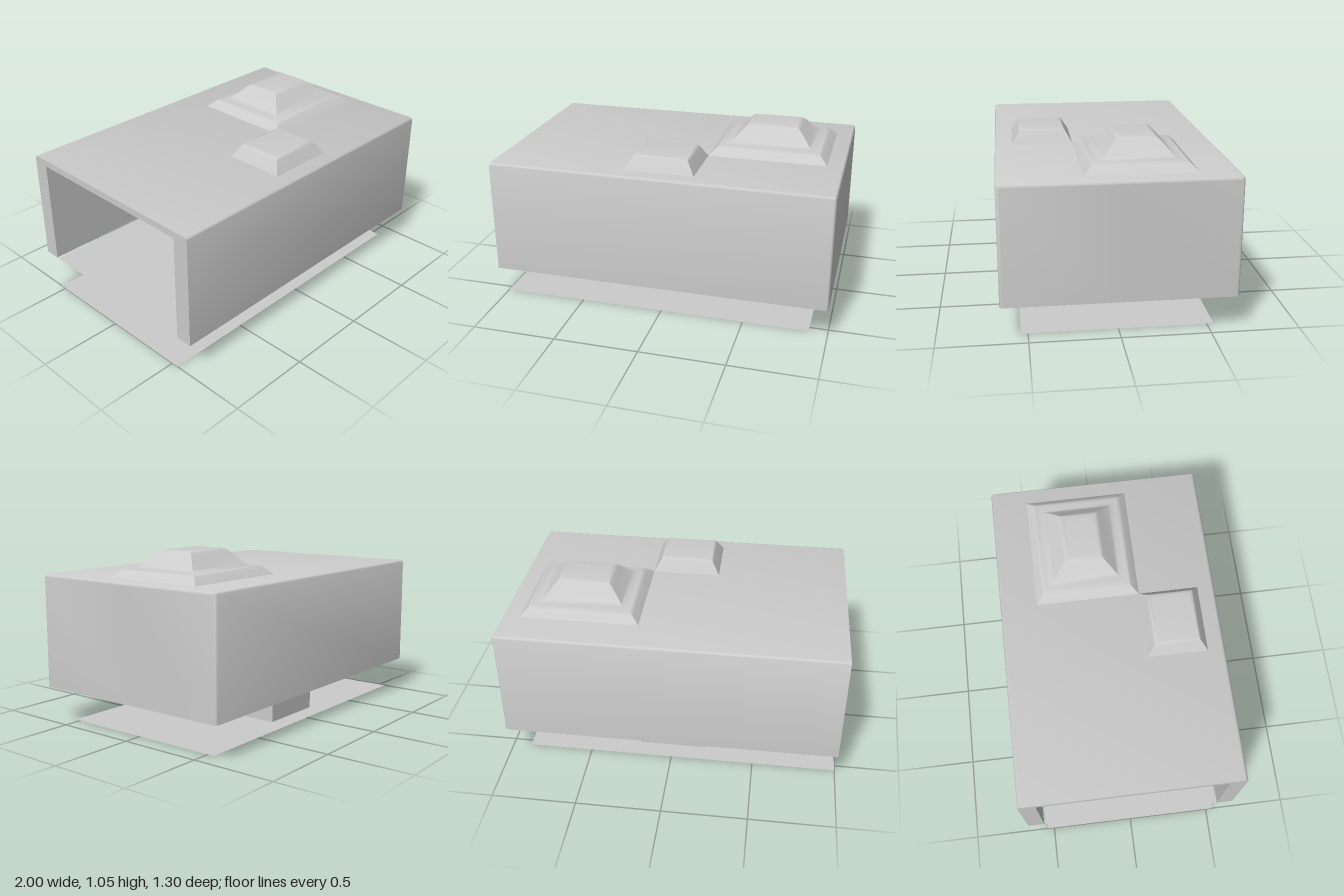
import * as THREE from 'three';
import { toCreasedNormals } from 'three/addons/utils/BufferGeometryUtils.js';

const material = new THREE.MeshStandardMaterial({ color: 0xcccccc, side: THREE.DoubleSide });

const FLOOR = 0.21, ROOF = 0.89;
const WELL = { x: 0, z: -0.12, hx: 0.205, hz: 0.31 };

function addMesh(group, geometry, name) {
  const mesh = new THREE.Mesh(geometry, material);
  mesh.name = name;
  group.add(mesh);
}

// Skin a list of cross-sections with equal point counts
function loft(rings, closed) {
  const n = rings[0].length, index = [];
  for (let i = 0; i < rings.length - 1; i++) {
    for (let j = 0; j < (closed ? n : n - 1); j++) {
      const a = i * n + j, b = i * n + (j + 1) % n;
      index.push(a, b, b + n, a, b + n, a + n);
    }
  }
  const geometry = new THREE.BufferGeometry();
  geometry.setAttribute('position', new THREE.Float32BufferAttribute(rings.flat(2), 3));
  geometry.setIndex(index);
  return toCreasedNormals(geometry, 0.75);
}

// Arch-shaped section (two walls and a top) with rounded shoulders
function archSection(x, w, top, r) {
  const points = [[x, FLOOR, -w]];
  for (const side of [-1, 1]) {
    for (let k = 0; k <= 4; k++) {
      const a = (side < 0 ? k : 4 - k) * Math.PI / 8;
      points.push([x, top - r + r * Math.sin(a), side * (w - r + r * Math.cos(a))]);
    }
  }
  points.push([x, FLOOR, w]);
  return points;
}

// Rectangular section seen from above
function rectSection(cx, cz, hx, hz, y) {
  return [[1, 1], [1, -1], [-1, -1], [-1, 1]].map(([sx, sz]) => [cx + sx * hx, y, cz + sz * hz]);
}

// Stepped skylight from [inset, height] pairs, closed on top
function skylight(cx, cz, hx, hz, profile) {
  const rings = profile.map(([d, h]) => rectSection(cx, cz, hx - d, hz - d, ROOF + h));
  const [, h] = profile[profile.length - 1];
  rings.push(rectSection(cx, cz, Math.max(hx - hz, 0), Math.max(hz - hx, 0), ROOF + h));
  return loft(rings, true);
}

// Thin slab with the well opening cut out
function sheet(y) {
  const shape = new THREE.Shape([[-1, -0.54], [0.89, -0.54], [0.89, 0.54], [-1, 0.54]].map(p => new THREE.Vector2(...p)));
  const hole = rectSection(WELL.x, WELL.z, WELL.hx, WELL.hz, 0).map(([x, , z]) => new THREE.Vector2(x, z));
  shape.holes.push(new THREE.Path(hole));
  return new THREE.ShapeGeometry(shape).rotateX(Math.PI / 2).translate(0, y, 0);
}

export function createModel() {
  const group = new THREE.Group();
  group.name = 'building';

  // Double-walled shell, open at its right end: room, rim, outer skin, end cap
  const r = 0.02;
  const sections = [
    archSection(0.89, 0, 0.85, 0),
    archSection(0.89, 0.55, 0.85, 0),
    archSection(-1, 0.55, 0.85, 0),
    archSection(-1, 0.65, ROOF, r),
  ];
  for (let k = 0; k <= 4; k++) {
    const a = k * Math.PI / 8, inset = r * (1 - Math.cos(a));
    sections.push(archSection(1 - r + r * Math.sin(a), 0.65 - inset, ROOF - inset, r - inset));
  }
  sections.push(archSection(1, 0, ROOF - r, 0));
  addMesh(group, loft(sections, false), 'shell');

  // Room floor, lower floor and the well joining them
  addMesh(group, sheet(FLOOR), 'roomFloor');
  addMesh(group, sheet(0), 'lowerFloor');
  const well = [0, FLOOR].map(y => rectSection(WELL.x, WELL.z, WELL.hx, WELL.hz, y));
  addMesh(group, loft(well, true), 'well');

  // Skylights on the roof
  addMesh(group, skylight(-0.005, 0.367, 0.205, 0.18, [
    [0, 0], [0.04, 0.066], [0.047, 0.076], [0.057, 0.082], [0.07, 0.084],
  ]), 'smallSkylight');
  addMesh(group, skylight(0.55, -0.12, 0.35, 0.31, [
    [0, 0], [0.038, 0.037], [0.052, 0.047], [0.07, 0.052], [0.1, 0.053], [0.115, 0.062],
    [0.185, 0.138], [0.2, 0.15], [0.212, 0.155], [0.23, 0.157],
  ]), 'largeSkylight');

  return group;
}
